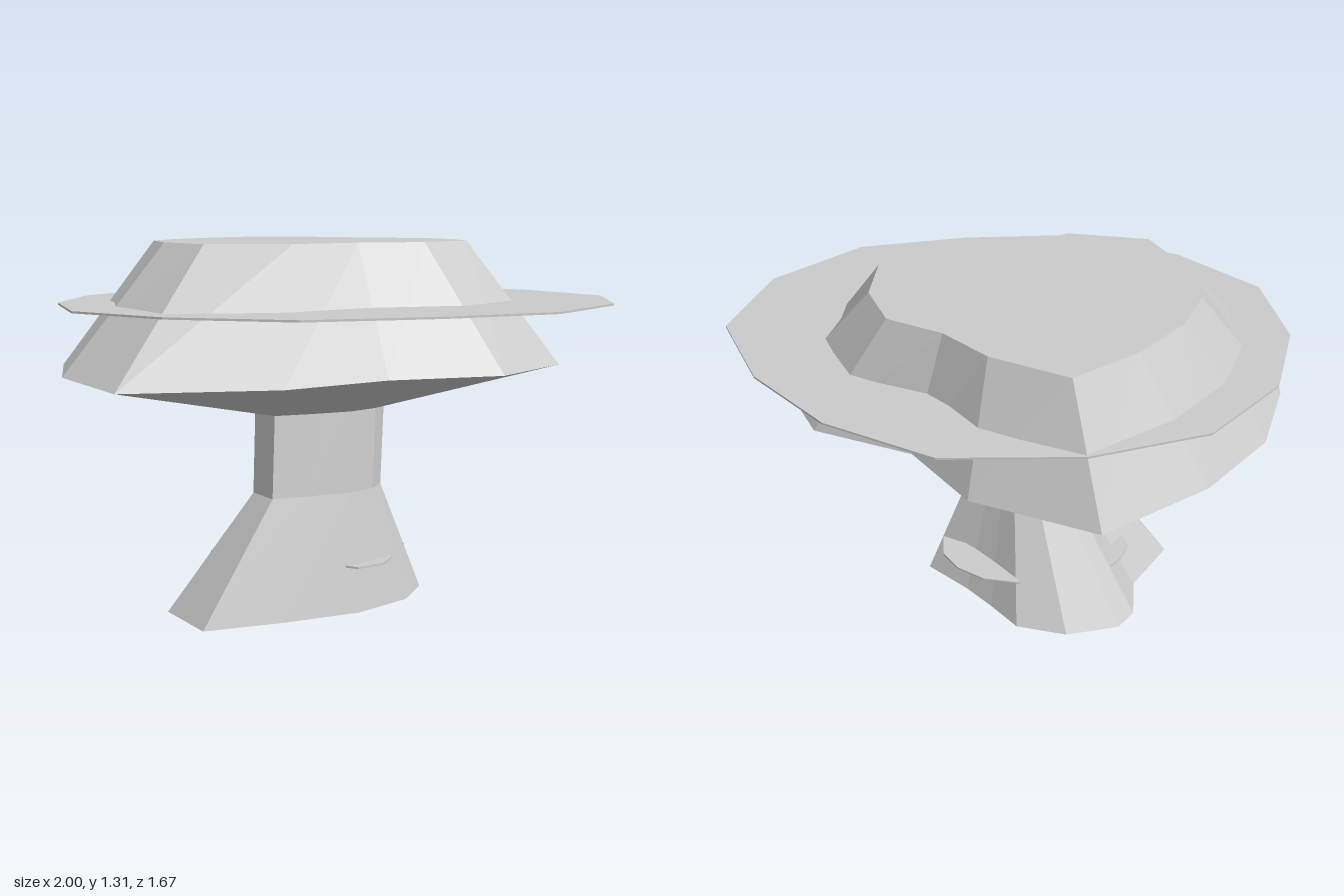
import * as THREE from 'three';

// Outlines are [x, z] corners, running from the front left-hand corner round past +x to the back.
const BASE = [[-.54, .4], [-.26, .36], [.02, .3], [.22, .18], [.27, .1], [.31, .03], [.15, -.1],
  [.05, -.2], [-.05, -.31], [-.24, -.35], [-.44, -.3], [-.5, -.22], [-.51, -.05], [-.65, .17]];
const RIM = [[-.81, .74], [-.3, .75], [.06, .6], [.46, .56], [.74, .31], [.81, 0], [.65, -.3],
  [.3, -.43], [.1, -.68], [-.32, -.84], [-.67, -.59], [-.89, -.32], [-.99, 0], [-.98, .35]];
const TOP = [[-.51, .35], [-.22, .39], [.02, .27], [.26, .25], [.45, .11], [.46, -.1], [.38, -.28],
  [.19, -.37], [.04, -.51], [-.22, -.63], [-.43, -.47], [-.58, -.29], [-.66, -.1], [-.63, .12]];
const DISC = [[-.66, .66], [-.26, .83], [.19, .79], [.6, .69], [.9, .4], [1, .03], [.83, -.31],
  [.56, -.58], [.19, -.76], [-.27, -.74], [-.66, -.6], [-.91, -.31], [-1, .03], [-.94, .39]];

const scaled = (outline, s, dx, dz) => outline.map(([x, z]) => [x * s + dx, z * s + dz]);

// Faceted solid through a stack of [height, outline] rings, with optional end caps
function loft(name, rings, capBottom = true, capTop = true) {
  const n = rings[0][1].length;
  const positions = rings.flatMap(([y, o]) => o.flatMap(([x, z]) => [x, y, z]));
  const index = [];
  for (let r = 0; r < rings.length - 1; r++) {
    for (let i = 0; i < n; i++) {
      const a = r * n + i, b = r * n + (i + 1) % n;
      index.push(a, b, b + n, a, b + n, a + n);
    }
  }
  const cap = (r, flip) => {
    const contour = rings[r][1].map(([x, z]) => new THREE.Vector2(x, -z));
    for (const [a, b, c] of THREE.ShapeUtils.triangulateShape(contour, [])) {
      const [p, q] = flip ? [c, b] : [b, c];
      index.push(r * n + a, r * n + p, r * n + q);
    }
  };
  if (capBottom) cap(0, true);
  if (capTop) cap(rings.length - 1, false);
  const geometry = new THREE.BufferGeometry();
  geometry.setAttribute('position', new THREE.Float32BufferAttribute(positions, 3));
  geometry.setIndex(index);
  const flat = geometry.toNonIndexed();
  flat.computeVertexNormals();
  const mesh = new THREE.Mesh(flat, new THREE.MeshStandardMaterial({ color: 0xcccccc, flatShading: true }));
  mesh.name = name;
  return mesh;
}

// Thin horizontal sheet
const sheet = (name, outline, y, t) => loft(name, [[y - t / 2, outline], [y + t / 2, outline]]);

export function createModel() {
  const group = new THREE.Group();
  group.name = 'rockFormation';
  const neck = scaled(BASE, .505, .007, .025);

  // Flared foot and narrow neck
  group.add(loft('stem', [[0, BASE], [.42, scaled(BASE, .5, -.01, .06)], [.71, neck]], true, false));
  // Overhanging underside and tapering flat-topped cap
  group.add(loft('cap', [[.71, neck], [.88, RIM], [1.31, TOP]], false, true));
  // Wide thin sheet round the cap
  group.add(sheet('capDisc', DISC, 1.097, .007));

  // Small thin ledges bridging the hollows of the foot
  const ledges = {
    frontLedge: [[-.04, .26], [.02, .3], [.12, .26], [.17, .18], [.1, .18]],
    backLedge: [[.25, .02], [.24, -.09], [.18, -.17], [.08, -.23], [-.06, -.25], [.03, -.08]],
    sideLedge: [[-.46, .05], [-.36, -.02], [-.4, -.15], [-.45, -.09], [-.48, -.01]],
  };
  for (const [name, outline] of Object.entries(ledges)) group.add(sheet(name, outline, .165, .007));
  return group;
}
